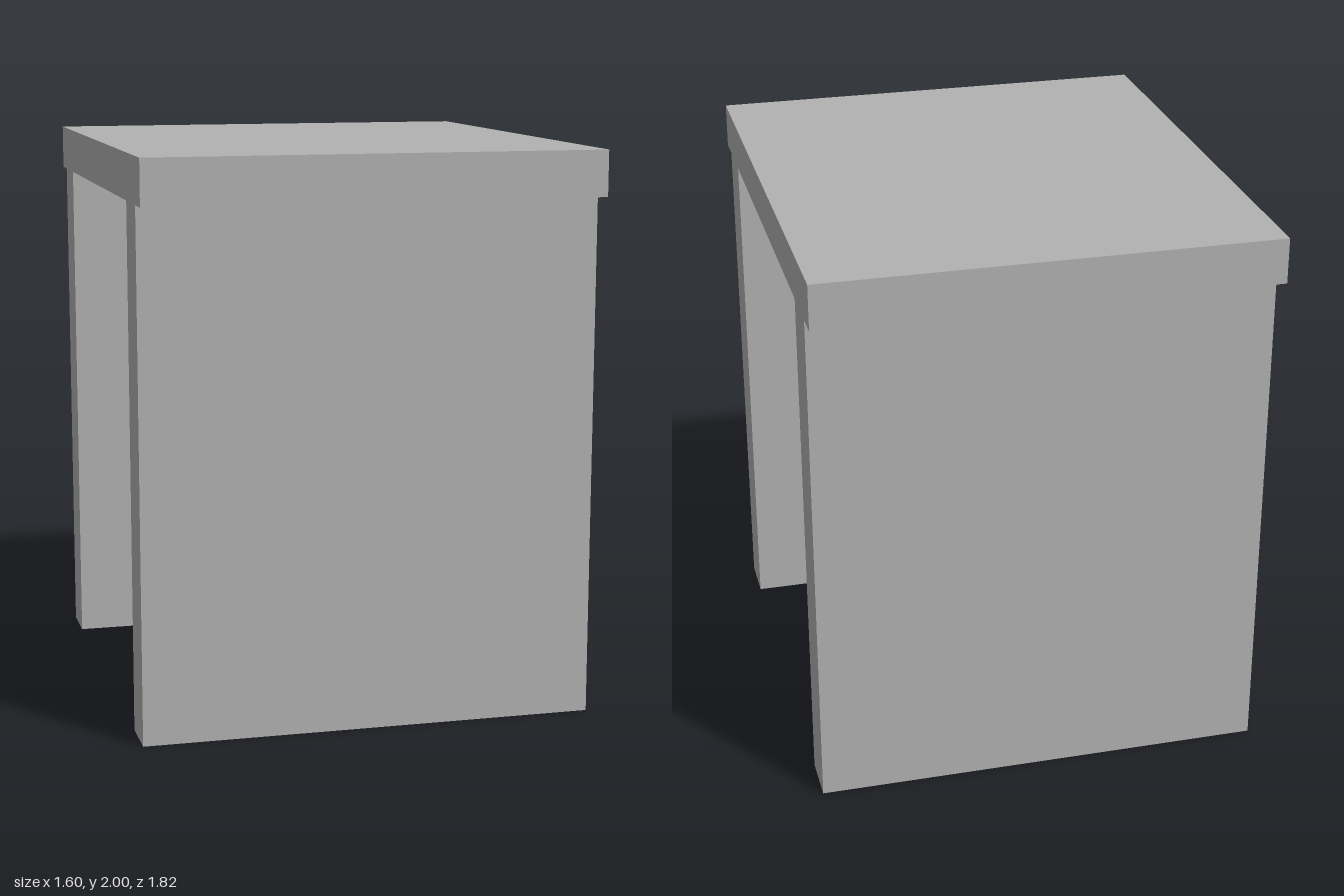
import * as THREE from 'three';

export function createModel() {
  const group = new THREE.Group();
  group.name = 'table';
  const grey = new THREE.MeshStandardMaterial({ color: 0xb2b2b2 });
  grey.name = 'grey';

  const width = 1.6, height = 2, underside = 1.84;
  const topEdge = 0.908, legOuter = 0.815, legInner = 0.637;

  // One half of the side outline, from the inner corner under the top round to its edge
  const half = [
    [legInner, underside], [legInner, 0], [legOuter, 0],
    [legOuter, underside], [topEdge, underside], [topEdge, height],
  ];
  const mirrored = half.map(([z, y]) => [-z, y]).reverse();
  const outline = new THREE.Shape(
    [...half, ...mirrored].map(([z, y]) => new THREE.Vector2(z, y)));

  // Table top and both slab legs as one solid, extruded across the width
  const geometry = new THREE.ExtrudeGeometry(outline, { depth: width, bevelEnabled: false });
  geometry.translate(0, 0, -width / 2);
  geometry.rotateY(Math.PI / 2);
  const body = new THREE.Mesh(geometry, grey);
  body.name = 'topAndSlabLegs';
  group.add(body);

  return group;
}
